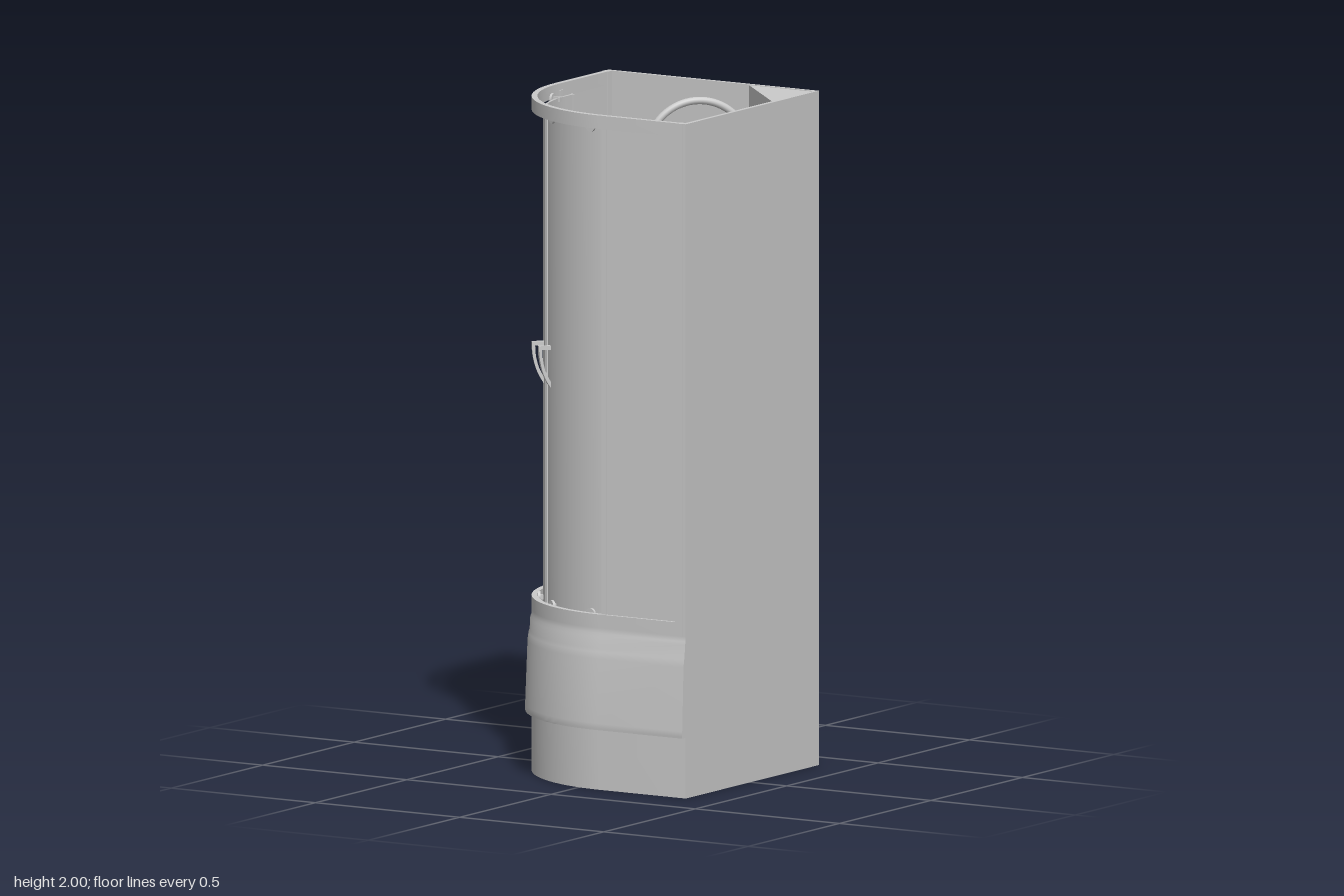
import * as THREE from 'three';
import { toCreasedNormals } from 'three/addons/utils/BufferGeometryUtils.js';

const CX = 0.08, CZ = -0.08, R = 0.455, H = 0.375; // arc centre, outer radius, half width
const mat = new THREE.MeshStandardMaterial({ color: 0xcccccc, side: THREE.DoubleSide });
const deg = Math.PI / 180;

function add(parent, name, geo, x = 0, y = 0, z = 0) {
  const m = new THREE.Mesh(geo, mat);
  m.name = name;
  m.position.set(x, y, z);
  parent.add(m);
  return m;
}

// Plan points are [x, z]; shapes use -z so they lie flat after rotation
const toShape = pts => new THREE.Shape(pts.map(([x, z]) => new THREE.Vector2(x, -z)));
const mirror = pts => pts.map(([x, z]) => [-z, -x]); // across the cabin's diagonal

// Flat plan shape raised from y0 to y1
function slab(pts, y0, y1) {
  const g = new THREE.ExtrudeGeometry(toShape(pts), { depth: y1 - y0, bevelEnabled: false });
  g.rotateX(-Math.PI / 2).translate(0, y0, 0);
  return toCreasedNormals(g, 0.5);
}

// Arc of the curved front, inset by o, between two angles
function arc(o, t0 = 180, t1 = 90, n = 36) {
  const pts = [];
  for (let i = 0; i <= n; i++) {
    const t = (t0 + (t1 - t0) * i / n) * deg;
    pts.push([CX + (R - o) * Math.cos(t), CZ + (R - o) * Math.sin(t)]);
  }
  return pts;
}
const outline = o => [[H, H - o], [H, -H], [-H + o, -H], ...arc(o)];
const frontPath = o => [[-H + o, -0.363], ...arc(o), [0.363, H - o]];
const band = (path, o1, o2) => [...path(o1), ...path(o2).reverse()];

// Skin through rings of equal point count
function loft(rings, crease) {
  const n = rings[0].length, pos = [], idx = [];
  rings.forEach(r => r.forEach(p => pos.push(...p)));
  for (let j = 0; j < rings.length - 1; j++)
    for (let i = 0; i < n; i++) {
      const a = j * n + i, b = j * n + (i + 1) % n;
      idx.push(a, b, b + n, a, b + n, a + n);
    }
  const g = new THREE.BufferGeometry();
  g.setAttribute('position', new THREE.Float32BufferAttribute(pos, 3));
  g.setIndex(idx);
  return toCreasedNormals(g, crease);
}

function buildTray(parent) {
  const tray = new THREE.Group();
  tray.name = 'tray';
  parent.add(tray);
  add(tray, 'plinth', slab(outline(0.02), 0, 0.185));

  // Skirt: [inset, height]
  const skirt = [[0.02, 0.18], [0.001, 0.18], [0, 0.185], [0.001, 0.2], [0.008, 0.39],
    [0.011, 0.41], [0.014, 0.42], [0.016, 0.455], [0.02, 0.465], [0.02, 0.48]];
  add(tray, 'skirt', loft(skirt.map(([o, y]) => outline(o).map(([x, z]) => [x, y, z])), 0.4));

  // Basin outline, symmetric about the diagonal
  const ctrl = [[0.325, 0.2], [0.32, 0.05], [0.285, -0.09], [0.21, -0.21], [0.09, -0.285],
    [-0.05, -0.32], [-0.2, -0.325], [-0.285, -0.29], [-0.31, -0.2], [-0.3, -0.05],
    [-0.25, 0.09], [-0.185, 0.185], [-0.09, 0.25], [0.05, 0.3], [0.2, 0.31], [0.29, 0.285]];
  const rim = new THREE.CatmullRomCurve3(ctrl.map(([x, z]) => new THREE.Vector3(x, 0, z)), true)
    .getPoints(96).slice(0, -1).map(p => [p.x, p.z]);

  const deck = toShape(outline(0.02));
  deck.holes.push(toShape(rim));
  add(tray, 'deck', new THREE.ShapeGeometry(deck).rotateX(-Math.PI / 2), 0, 0.48, 0);

  // Raised bead, walls and dished floor: [scale, height]
  const basin = [[1, 0.48], [0.995, 0.488], [0.978, 0.492], [0.96, 0.488], [0.948, 0.47],
    [0.935, 0.4], [0.915, 0.32], [0.89, 0.28], [0.86, 0.26], [0.81, 0.25], [0.4, 0.246], [0.001, 0.244]];
  add(tray, 'basin', loft(basin.map(([s, y]) => rim.map(([x, z]) => [x * s, y, z * s])), 1.2));
  add(tray, 'drain', new THREE.CylinderGeometry(0.032, 0.032, 0.008, 32), 0.14, 0.25, -0.13);
}

function buildEnclosure(parent) {
  const wall = [[-0.355, -H], [H, -H], [H, -0.362], [-0.355, -0.362]];
  const jamb = [[-0.357, -0.365], [-0.335, -0.365], [-0.335, -0.34], [-0.357, -0.34]];
  const panel = [[-0.345, -0.345], [-0.339, -0.345], [-0.339, -0.085], [-0.345, -0.085]];
  const post = [[-0.349, -0.095], [-0.335, -0.095], [-0.335, -0.08], [-0.349, -0.08]];
  const doorPath = o => [[-H + o, -0.12], ...arc(o, 180, 136, 20)];
  const seal = band(o => arc(o, 137.2, 135.2, 2), 0.05, 0.068);
  const edge = [[-0.325, -0.125], [-0.311, -0.125], [-0.311, -0.113], [-0.325, -0.113]];

  // Both sides share the same parts across the diagonal
  [['left', mirror], ['right', p => p]].forEach(([side, f]) => {
    const g = new THREE.Group();
    g.name = side + 'Enclosure';
    parent.add(g);
    add(g, 'wall', slab(f(wall), 0.48, 2));
    add(g, 'jamb', slab(f(jamb), 0.48, 2));
    add(g, 'fixedPanel', slab(f(panel), 0.5, 1.98));
    add(g, 'fixedPanelPost', slab(f(post), 0.5, 1.98));
    add(g, 'slidingDoor', slab(f(band(doorPath, 0.054, 0.061)), 0.5, 1.965));
    add(g, 'doorSeal', slab(f(seal), 0.5, 1.965));
    add(g, 'doorEdge', slab(f(edge), 0.5, 1.965));
  });

  add(parent, 'bottomRail', slab(band(frontPath, 0.02, 0.037), 0.48, 0.52));
  add(parent, 'topRail', slab(band(frontPath, 0.02, 0.037), 1.96, 2));
  add(parent, 'cornerPanel', slab([[0.14, -0.362], [0.362, -0.14], [H - 0.003, -0.14],
    [H - 0.003, -H + 0.003], [0.14, -H + 0.003]], 0.48, 1.998));
}

// Group whose local +x points outward from the arc centre
function radial(parent, name, t) {
  const g = new THREE.Group();
  g.name = name;
  g.position.set(CX, 0, CZ);
  g.rotation.y = -t * deg;
  parent.add(g);
  return g;
}

function buildDoorFittings(parent) {
  for (const t of [173, 147, 123, 97]) {
    const g = radial(parent, 'rollers', t);
    for (const y of [0.515, 1.962]) {
      add(g, 'bracket', new THREE.BoxGeometry(0.03, 0.014, 0.012), 0.402, y, 0);
      add(g, 'wheel', new THREE.CylinderGeometry(0.017, 0.017, 0.007, 20).rotateZ(Math.PI / 2), 0.413, y, 0);
    }
  }
  // Bowed door handles with inner fixing nubs
  const bow = new THREE.Shape();
  bow.moveTo(0.398, 1.15);
  bow.quadraticCurveTo(0.438, 1.2, 0.438, 1.28);
  bow.lineTo(0.398, 1.28);
  bow.lineTo(0.398, 1.268);
  bow.lineTo(0.428, 1.268);
  bow.quadraticCurveTo(0.428, 1.21, 0.398, 1.168);
  for (const t of [141, 129]) {
    const g = radial(parent, 'doorHandle', t);
    const geo = new THREE.ExtrudeGeometry(bow, { depth: 0.012, bevelEnabled: false }).translate(0, 0, -0.006);
    add(g, 'grip', toCreasedNormals(geo, 0.6));
    for (const y of [1.16, 1.272]) add(g, 'nub', new THREE.BoxGeometry(0.012, 0.01, 0.01), 0.39, y, 0);
  }
}

function buildShower(parent) {
  // Local z points away from the diagonal corner panel
  const g = new THREE.Group();
  g.name = 'shower';
  g.position.set(0.251, 0, -0.251);
  g.rotation.y = -Math.PI / 4;
  parent.add(g);
  const cyl = (name, r, len, x, y, z, axis) => {
    const geo = new THREE.CylinderGeometry(r, r, len, 24);
    if (axis === 'x') geo.rotateZ(Math.PI / 2);
    if (axis === 'z') geo.rotateX(Math.PI / 2);
    return add(g, name, geo, x, y, z);
  };
  cyl('riser', 0.011, 0.73, 0.007, 1.465, 0.035);
  add(g, 'arm', new THREE.TorusGeometry(0.155, 0.011, 12, 40, Math.PI).rotateY(-Math.PI / 2), 0.007, 1.83, 0.19);
  cyl('headCollar', 0.017, 0.025, 0.007, 1.845, 0.345);
  cyl('rainHead', 0.091, 0.016, 0.007, 1.827, 0.345);
  for (const y of [1.15, 1.78]) {
    cyl('riserMount', 0.014, 0.04, 0.007, y, 0.018, 'z');
    cyl('riserClamp', 0.018, 0.035, 0.007, y, 0.035);
  }
  // Mixer valve
  cyl('mixerBody', 0.022, 0.11, 0.007, 1.1, 0.035, 'x');
  cyl('mixerSpout', 0.015, 0.07, 0.025, 1.1, 0.07, 'z');
  add(g, 'mixerLever', new THREE.BoxGeometry(0.035, 0.014, 0.05), 0.025, 1.125, 0.08);
  // Hand shower resting in its holder
  cyl('holderArm', 0.02, 0.07, -0.1, 1.5, 0.035, 'z');
  cyl('handsetHead', 0.025, 0.125, -0.065, 1.5, 0.07, 'x');
  cyl('handsetGrip', 0.012, 0.2, -0.1, 1.41, 0.065);
}

export function createModel() {
  const model = new THREE.Group();
  model.name = 'showerCabin';
  buildTray(model);
  buildEnclosure(model);
  buildDoorFittings(model);
  buildShower(model);
  return model;
}
